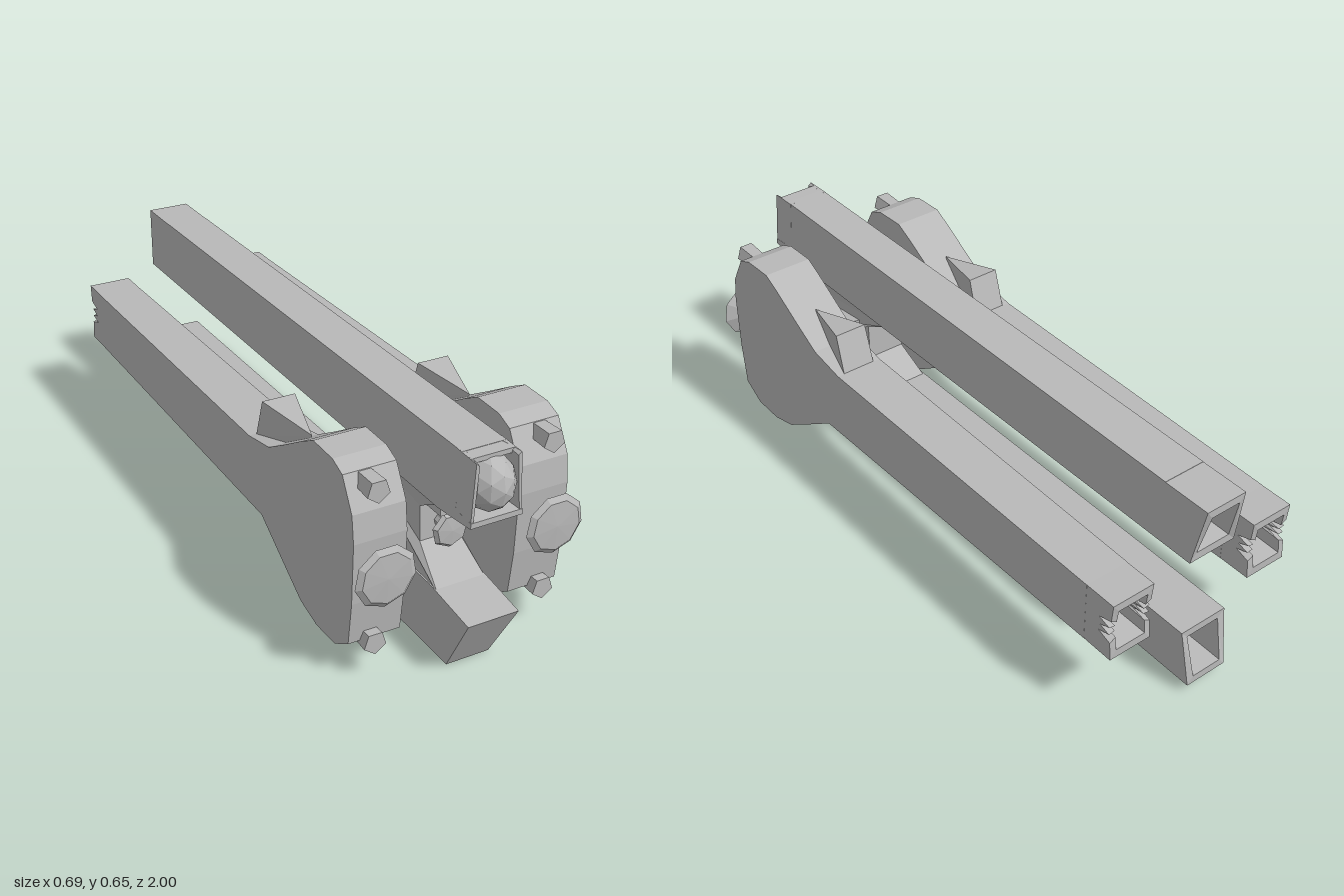
import * as THREE from 'three';
import { ConvexGeometry } from 'three/addons/geometries/ConvexGeometry.js';

const hull = new THREE.MeshStandardMaterial({ color: 0xb8b8b8, flatShading: true });
hull.name = 'hullGrey';

function add(parent, name, geometry, x = 0, y = 0, z = 0) {
  const mesh = new THREE.Mesh(geometry, hull);
  mesh.name = name;
  mesh.position.set(x, y, z);
  parent.add(mesh);
  return mesh;
}

// Side profile of [z, y] points, given a half width that depends on y and z
function slab(points, halfWidth) {
  const shape = new THREE.Shape(points.map(([z, y]) => new THREE.Vector2(z, y)));
  const geo = new THREE.ExtrudeGeometry(shape, { depth: 2, bevelEnabled: false });
  geo.rotateY(-Math.PI / 2).translate(1, 0, 0);
  const p = geo.attributes.position;
  for (let i = 0; i < p.count; i++) p.setX(i, p.getX(i) * halfWidth(p.getY(i), p.getZ(i)));
  geo.computeVertexNormals();
  return geo;
}

// Hollow beam end: outer wall, rim, inner wall and recess floor.
// side lists [y, z] points from the bottom to the top of the rim.
function hollowTail(side, startZ, floorZ, halfWidth) {
  const low = side[0][0], high = side[side.length - 1][0];
  const mid = (low + high) / 2;
  const ring = (scale, zOf) => {
    const right = side.map(([y, z]) => {
      const yy = mid + (y - mid) * scale;
      return [halfWidth(y, z) * scale, yy, zOf(z)];
    });
    return [...right, ...right.map(([x, y, z]) => [-x, y, z]).reverse()];
  };
  const rings = [ring(1, () => startZ), ring(1, z => z), ring(0.72, z => z), ring(0.6, () => floorZ)];
  const n = rings[0].length, index = [];
  for (let r = 0; r < 3; r++) {
    for (let j = 0; j < n; j++) {
      const a = r * n + j, b = r * n + (j + 1) % n;
      index.push(a, a + n, b, b, a + n, b + n);
    }
  }
  for (let j = 1; j < n - 1; j++) index.push(3 * n, 3 * n + j + 1, 3 * n + j);
  const geo = new THREE.BufferGeometry();
  geo.setAttribute('position', new THREE.Float32BufferAttribute(rings.flat(2), 3));
  geo.setIndex(index);
  geo.computeVertexNormals();
  return geo;
}

// Flared dish with a narrow stem, facing +z
function dish(radius, depth, sides) {
  const profile = [[0.3, 0], [0.34, 0.45], [1, 0.8], [0.82, 0.95], [0, 1]]
    .map(([r, h]) => new THREE.Vector2(r * radius, h * depth));
  return new THREE.LatheGeometry(profile, sides).rotateX(Math.PI / 2);
}

function createCentre() {
  const g = new THREE.Group();
  g.name = 'centralFuselage';
  const upperWidth = y => THREE.MathUtils.mapLinear(y, 0.455, 0.65, 0.078, 0.065);
  const lowerWidth = y => THREE.MathUtils.mapLinear(y, 0, 0.21, 0.066, 0.078);

  add(g, 'upperBeam', slab([
    [0.9, 0.65], [-0.85, 0.637], [-0.85, 0.455], [0.83, 0.455],
    [0.97, 0.47], [0.97, 0.486], [0.9, 0.49],
  ], upperWidth));
  add(g, 'upperTail', hollowTail([[0.455, -0.97], [0.636, -1]], -0.85, -0.88, upperWidth));

  add(g, 'lowerBeam', slab([
    [0.985, 0.188], [0.8, 0.212], [-0.85, 0.207], [-0.85, 0.03],
    [0.44, 0.033], [0.53, 0], [0.88, 0],
  ], lowerWidth));
  add(g, 'lowerTail', hollowTail([[0.03, -1], [0.207, -0.97]], -0.85, -0.88, lowerWidth));

  // Column joining both beams, narrowest at its middle
  add(g, 'column', slab([
    [0.84, 0.2], [0.72, 0.29], [0.72, 0.4], [0.82, 0.46],
    [0.36, 0.46], [0.47, 0.4], [0.47, 0.28], [0.36, 0.2],
  ], y => 0.05 + 0.19 * Math.abs(y - 0.335)));

  // Faceted cockpit set into the front frame
  const cockpit = add(g, 'cockpit', new THREE.IcosahedronGeometry(1, 1), 0, 0.565, 0.925);
  cockpit.scale.set(0.067, 0.08, 0.075);
  for (const s of [-1, 1]) {
    add(g, 'frameCheek', new ConvexGeometry([
      [0.066, 0.65, 0.88], [0.05, 0.65, 0.88], [0.066, 0.648, 0.965], [0.056, 0.64, 0.965],
      [0.076, 0.48, 0.88], [0.06, 0.48, 0.88], [0.076, 0.48, 0.968], [0.068, 0.48, 0.968],
    ].map(([x, y, z]) => new THREE.Vector3(s * x, y, z))));
  }
  add(g, 'frameTop', new THREE.BoxGeometry(0.128, 0.014, 0.06), 0, 0.642, 0.91);

  add(g, 'frontDish', dish(0.056, 0.07, 7), 0, 0.34, 0.715);
  add(g, 'frontBlock', new THREE.BoxGeometry(0.09, 0.035, 0.08), 0, 0.417, 0.75);
  add(g, 'bellyBlock', new THREE.BoxGeometry(0.05, 0.02, 0.1), 0, 0.03, 0.39);
  return g;
}

function createPod(side) {
  const g = new THREE.Group();
  g.name = side > 0 ? 'leftPod' : 'rightPod';
  g.position.x = side * 0.246;
  const width = (y, z) => THREE.MathUtils.mapLinear(z, -0.95, 0.6, 0.068, 0.076);

  add(g, 'podBody', slab([
    [0.825, 0.24], [0.83, 0.42], [0.82, 0.5], [0.77, 0.59], [0.72, 0.61], [0.62, 0.612],
    [0.56, 0.58], [0.46, 0.52], [0.37, 0.468], [0.25, 0.445], [-0.85, 0.43], [-0.85, 0.243],
    [0.32, 0.23], [0.43, 0.16], [0.55, 0.085], [0.64, 0.062], [0.74, 0.066], [0.81, 0.11],
  ], width));

  // Jagged hollow end
  add(g, 'podTail', hollowTail([
    [0.243, -0.95], [0.3, -0.945], [0.316, -0.9], [0.326, -0.94], [0.338, -0.905],
    [0.35, -0.94], [0.362, -0.9], [0.375, -0.945], [0.43, -0.95],
  ], -0.85, -0.86, width));

  // Wedge fin behind the shoulder
  add(g, 'podFin', new ConvexGeometry([
    [0, 0.535, 0.475], [0, 0.45, 0.44], [0.05, 0.56, 0.285], [-0.05, 0.56, 0.285],
    [0.052, 0.44, 0.25], [-0.052, 0.44, 0.25],
  ].map(p => new THREE.Vector3(...p))));

  add(g, 'podDish', dish(0.09, 0.075, 9), side * 0.01, 0.335, 0.815);

  // Small five-sided muzzles at the top and bottom
  for (const y of [0.563, 0.112]) {
    const muzzle = new THREE.CylinderGeometry(0.034, 0.03, 0.09, 5).rotateX(Math.PI / 2);
    add(g, 'muzzle', muzzle, side * 0.015, y, 0.797);
  }
  return g;
}

// Cross strut, taller towards the fuselage
function createStrut(side) {
  const points = [];
  for (const [x, low, high, back, front] of [[0.04, 0.265, 0.4, 0.51, 0.65], [0.19, 0.29, 0.415, 0.52, 0.66]]) {
    points.push([x, low, front - 0.03], [x, low + 0.03, back], [x, high, back], [x, high - 0.02, front]);
  }
  return new ConvexGeometry(points.map(([x, y, z]) => new THREE.Vector3(side * x, y, z)));
}

export function createModel() {
  const model = new THREE.Group();
  model.name = 'starfighter';
  model.add(createCentre());
  for (const side of [-1, 1]) {
    model.add(createPod(side));
    add(model, side > 0 ? 'leftStrut' : 'rightStrut', createStrut(side));
  }
  return model;
}
